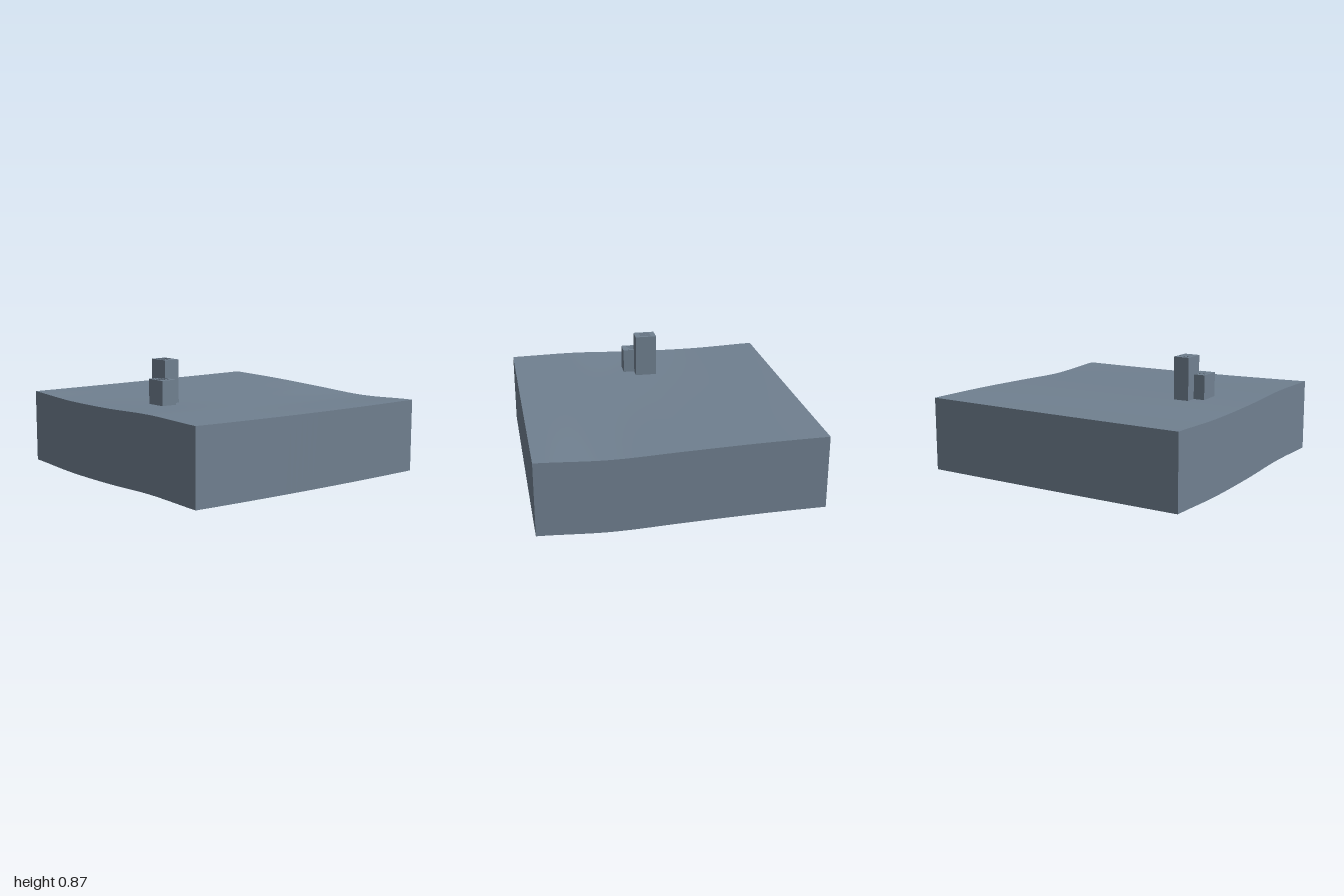
import * as THREE from 'three';

const SKIRT = 0.53;

// Height profiles from back (z = -1) to front (z = 1) at x = -1, 0 and 1
const profiles = [
  [0.575, 0.56, 0.566, 0.585, 0.58],
  [0.573, 0.565, 0.558, 0.555, 0.56],
  [0.575, 0.568, 0.552, 0.535, 0.555],
].map((p) => new THREE.SplineCurve(p.map((h, i) => new THREE.Vector2(i / 2 - 1, h))));

function height(x, z) {
  const [a, b, c] = profiles.map((p) => p.getPoint((z + 1) / 2).y);
  return b + ((c - a) / 2) * x + ((a + c) / 2 - b) * x * x;
}

export function createModel() {
  const group = new THREE.Group();
  const slate = new THREE.MeshStandardMaterial({ color: 0x708090, side: THREE.DoubleSide });
  slate.name = 'slate';

  const add = (name, geometry, parent = group) => {
    const mesh = new THREE.Mesh(geometry, slate);
    mesh.name = name;
    parent.add(mesh);
    return mesh;
  };

  // Gently rolling ground
  const ground = new THREE.PlaneGeometry(2, 2, 40, 40).rotateX(-Math.PI / 2);
  const gp = ground.attributes.position;
  for (let i = 0; i < gp.count; i++) gp.setY(i, height(gp.getX(i), gp.getZ(i)));
  ground.computeVertexNormals();
  add('ground', ground);

  // Side walls follow the ground edge; the block is open underneath
  ['frontWall', 'leftWall', 'backWall', 'rightWall'].forEach((name, side) => {
    const wall = new THREE.PlaneGeometry(2, 1, 40, 1).translate(0, 0, 1).rotateY((side * Math.PI) / 2);
    const p = wall.attributes.position;
    for (let i = 0; i < p.count; i++) {
      const drop = p.getY(i) < 0 ? SKIRT : 0;
      p.setY(i, height(p.getX(i), p.getZ(i)) - drop);
    }
    wall.computeVertexNormals();
    add(name, wall);
  });

  // Two towers with thin slats on their roofs
  const tower = (name, x, z, top) => {
    const part = new THREE.Group();
    part.name = name;
    group.add(part);
    const base = 0.555;
    add('body', new THREE.BoxGeometry(0.117, top - base, 0.16), part)
      .position.set(x, (top + base) / 2, z);
    for (const dx of [-0.03, 0, 0.03]) {
      add('roofSlat', new THREE.BoxGeometry(0.012, 0.004, 0.08), part)
        .position.set(x + dx, top + 0.002, z);
    }
  };
  tower('tallTower', -0.502, -0.002, 0.872);
  tower('shortTower', -0.587, 0.081, 0.742);

  return group;
}
